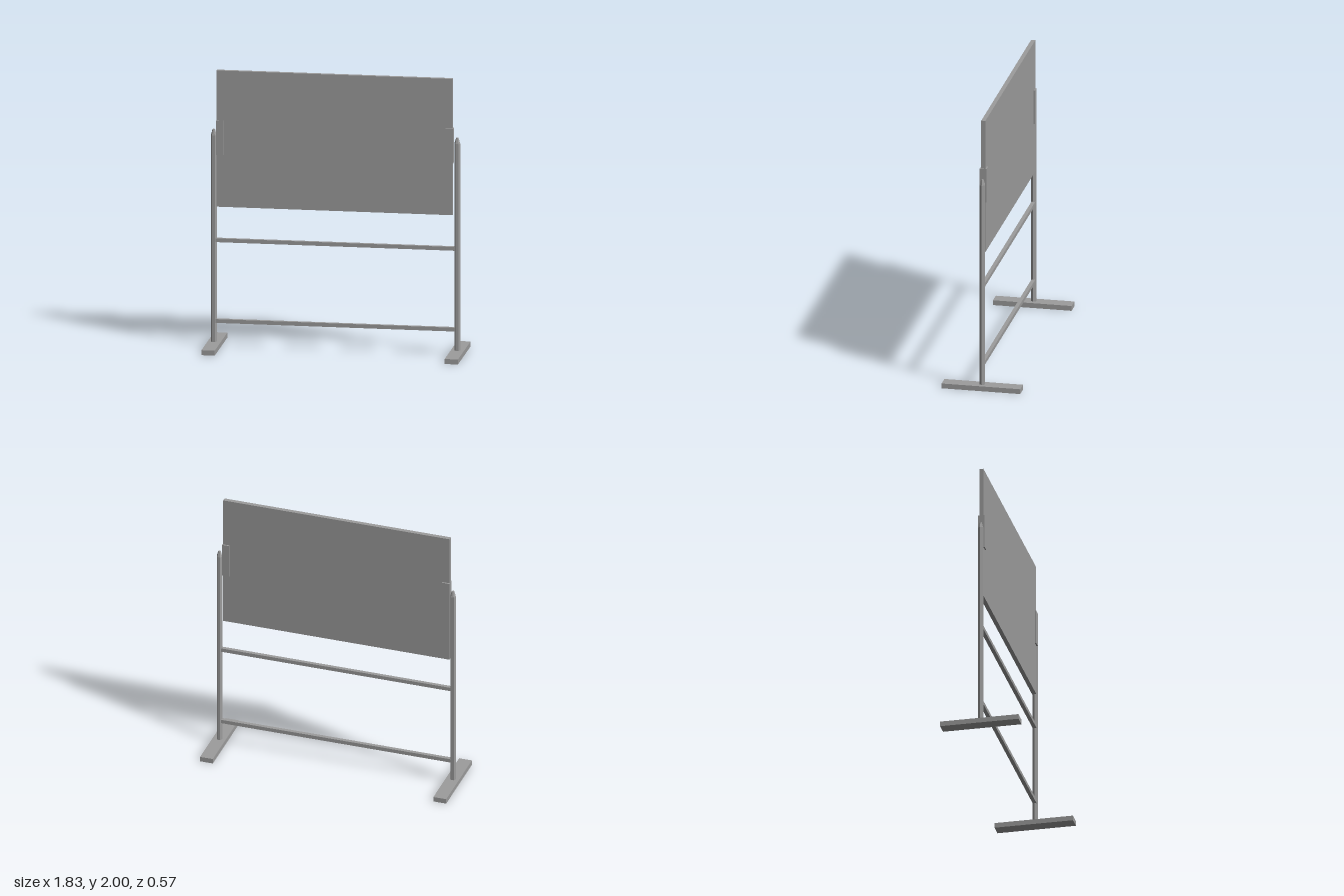
import * as THREE from 'three';

export function createModel() {
  const model = new THREE.Group();
  const material = new THREE.MeshStandardMaterial({ color: 0x9c9c9c, flatShading: true });

  const add = (name, geometry, x, y) => {
    const mesh = new THREE.Mesh(geometry, material);
    mesh.name = name;
    mesh.position.set(x, y, 0);
    model.add(mesh);
  };
  const box = (name, w, h, d, x, y) => add(name, new THREE.BoxGeometry(w, h, d), x, y);

  // Swivelling panel
  box('board', 1.682, 0.985, 0.03, -0.008, 1.507);

  // Post outline: straight shaft with a tapered, flat tip
  const postProfile = [[0, 0.03], [0.021, 0.03], [0.021, 1.53], [0.009, 1.572], [0, 1.572]]
    .map(([r, y]) => new THREE.Vector2(r, y));

  // Stand ends: foot, hexagonal post and the clamp gripping the board edge
  for (const side of [-1, 1]) {
    const label = side > 0 ? 'left' : 'right';
    box(label + 'Foot', 0.095, 0.036, 0.566, side * 0.867, 0.018);
    add(label + 'Post', new THREE.LatheGeometry(postProfile, 6, Math.PI / 2), side * 0.868 - 0.003, 0);
    box(label + 'Clamp', 0.053, 0.25, 0.05, side * 0.818 - 0.006, 1.515);
  }

  // Square rails between the posts
  box('lowerRail', 1.71, 0.027, 0.027, -0.003, 0.187);
  box('upperRail', 1.71, 0.027, 0.027, -0.003, 0.771);

  return model;
}
